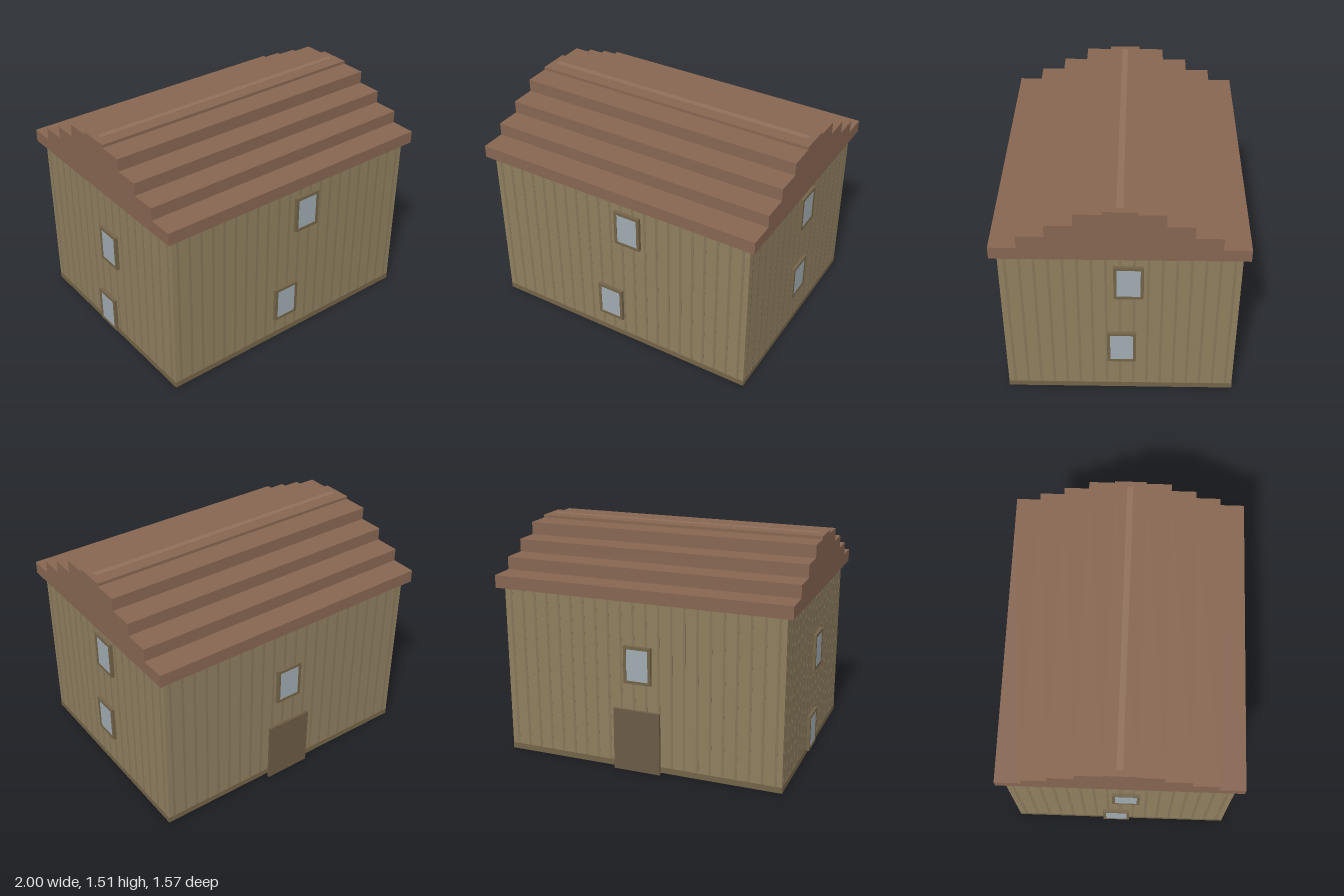
import * as THREE from 'three';

const material = (color) => new THREE.MeshStandardMaterial({ color });

export function createModel() {
  const house = new THREE.Group();
  house.name = 'house';

  const wallMat = material(0x8f7f5f);
  const battenMat = material(0x85765a);
  const trimMat = material(0x736348);
  const glassMat = material(0x9fabb1);
  const doorMat = material(0x6b5a45);
  const roofMat = material(0x876652);
  const ridgeMat = material(0x90705c);

  const halfX = 0.955, halfZ = 0.743, wallTop = 1.15;

  const box = (parent, name, mat, w, h, d, x, y, z) => {
    const mesh = new THREE.Mesh(new THREE.BoxGeometry(w, h, d), mat);
    mesh.name = name;
    mesh.position.set(x, y, z);
    parent.add(mesh);
    return mesh;
  };

  box(house, 'walls', wallMat, halfX * 2, wallTop, halfZ * 2, 0, wallTop / 2, 0);

  // Window: raised frame of four bars around a nearly flush pane
  const addWindow = (wall, x, y) => {
    const win = new THREE.Group();
    win.name = 'window';
    win.position.set(x, y, 0);
    const w = 0.187, h = 0.252, bar = 0.02, d = 0.022;
    for (const s of [-1, 1]) {
      box(win, 'frameSide', trimMat, bar, h, d, s * (w - bar) / 2, 0, d / 2);
      box(win, 'frameRail', trimMat, w - 2 * bar, bar, d, 0, s * (h - bar) / 2, d / 2);
    }
    box(win, 'pane', glassMat, w - 2 * bar, h - 2 * bar, 0.019, 0, 0, 0.0095);
    wall.add(win);
  };

  // Each wall face: local +z points outwards, local origin on the wall surface
  const sides = [
    { name: 'frontWall', angle: 0, half: halfX, out: halfZ, windows: [[0.093, 0.94], [-0.057, 0.28]] },
    { name: 'leftWall', angle: Math.PI / 2, half: halfZ, out: halfX, windows: [[0.053, 0.938], [0.01, 0.386]] },
    { name: 'backWall', angle: Math.PI, half: halfX, out: halfZ, windows: [[-0.012, 0.726]] },
    { name: 'rightWall', angle: -Math.PI / 2, half: halfZ, out: halfX, windows: [[0.037, 0.705], [-0.033, 0.151]] },
  ];
  for (const side of sides) {
    const wall = new THREE.Group();
    wall.name = side.name;
    wall.rotation.y = side.angle;
    wall.position.set(Math.sin(side.angle) * side.out, 0, Math.cos(side.angle) * side.out);

    // Shallow vertical cladding strips and a base band
    const count = Math.round(side.half * 2 / 0.085);
    const step = side.half * 2 / count;
    for (let i = 0; i < count; i++) {
      box(wall, 'claddingStrip', battenMat, 0.018, wallTop, 0.002, -side.half + (i + 0.5) * step, wallTop / 2, 0);
    }
    box(wall, 'baseBand', trimMat, side.half * 2, 0.04, 0.004, 0, 0.02, 0);

    for (const [x, y] of side.windows) addWindow(wall, x, y);

    // Back entrance: door leaf with a larger outer slab
    if (side.name === 'backWall') {
      box(wall, 'doorBacking', trimMat, 0.28, 0.405, 0.024, -0.012, 0.2025, 0.012);
      box(wall, 'door', doorMat, 0.32, 0.425, 0.018, -0.012, 0.2125, 0.033);
    }
    house.add(wall);
  }

  // Stepped roof: half profile mirrored about the ridge, extruded along x
  const steps = [[0.785, 1.235], [0.615, 1.32], [0.445, 1.405], [0.275, 1.49], [0.105, 1.51]];
  const half = [];
  let y = wallTop;
  for (const [z, top] of steps) {
    half.push([z, y], [z, top]);
    y = top;
  }
  const outline = [...half, ...half.map(([z, h]) => [-z, h]).reverse()];
  const profile = new THREE.Shape(outline.map(([z, h]) => new THREE.Vector2(z, h)));
  const roofGeo = new THREE.ExtrudeGeometry(profile, { depth: 2, bevelEnabled: false });
  roofGeo.translate(0, 0, -1).rotateY(Math.PI / 2);
  const roof = new THREE.Mesh(roofGeo, roofMat);
  roof.name = 'steppedRoof';
  house.add(roof);

  // Pale strip along the ridge
  box(house, 'ridgeStrip', ridgeMat, 1.92, 0.004, 0.04, 0, 1.51, 0);

  return house;
}
